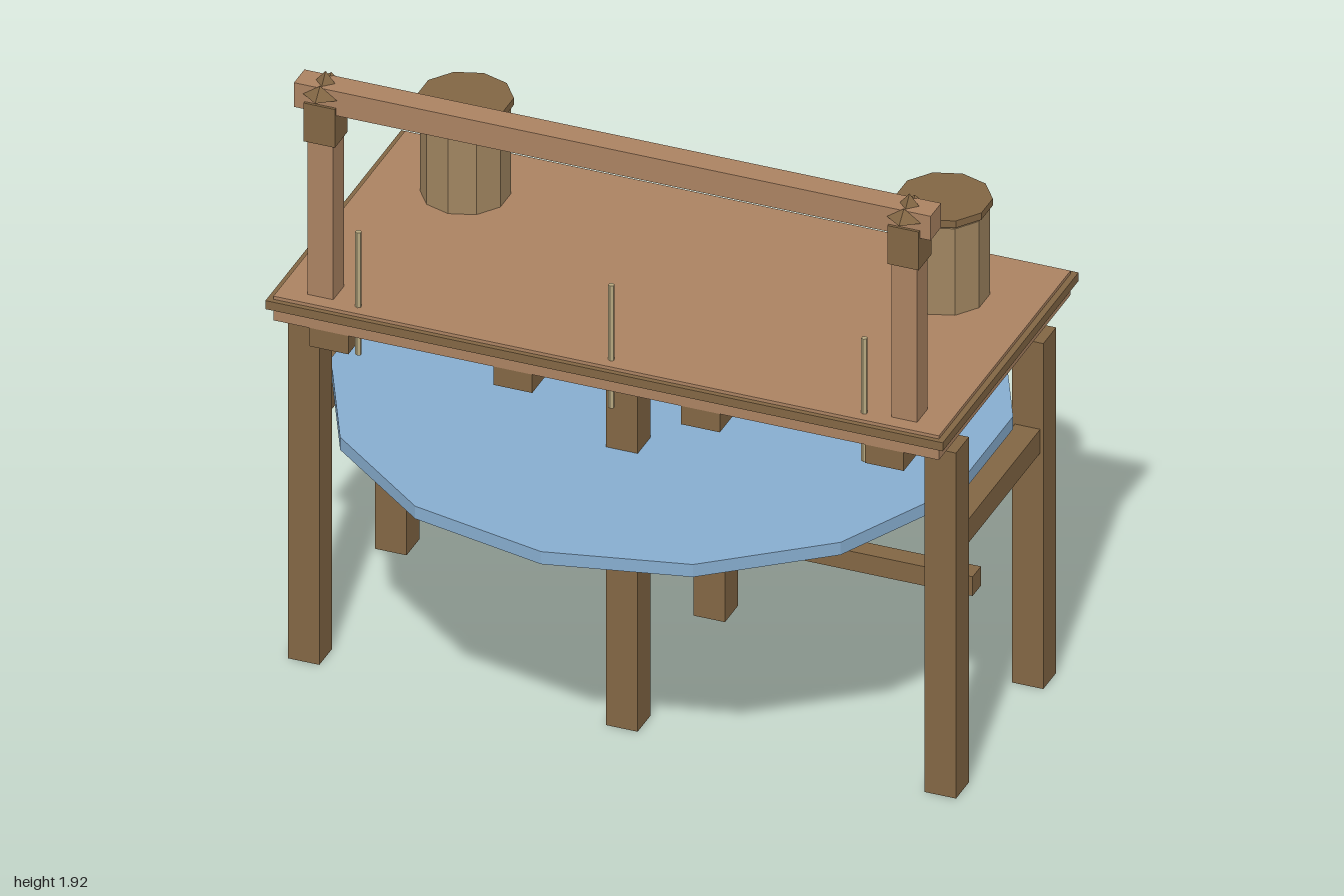
import * as THREE from 'three';

const mat = (color) => new THREE.MeshStandardMaterial({ color, flatShading: true });

export function createModel() {
  const group = new THREE.Group();
  const lightWood = mat(0xab8362);
  const darkWood = mat(0x826644);
  const staveWood = mat(0xa08560);
  const blue = mat(0x87adcf);
  const pale = mat(0xb8a880);

  const add = (name, geometry, material, x, y, z) => {
    const mesh = new THREE.Mesh(geometry, material);
    mesh.name = name;
    mesh.position.set(x, y, z);
    group.add(mesh);
    return mesh;
  };
  // Box given by its bottom and top heights
  const box = (name, material, w, d, y0, y1, x = 0, z = 0) =>
    add(name, new THREE.BoxGeometry(w, y1 - y0, d), material, x, (y0 + y1) / 2, z);
  // Upright prism given by its bottom and top heights
  const prism = (name, material, r, sides, y0, y1, x = 0, z = 0) =>
    add(name, new THREE.CylinderGeometry(r, r, y1 - y0, sides), material, x, (y0 + y1) / 2, z);

  // Six legs
  for (const x of [-0.94, 0, 0.94])
    for (const z of [-0.315, 0.315]) box('leg', darkWood, 0.093, 0.093, 0, 1.1, x, z);

  // End rails and long stretchers
  for (const x of [-0.94, 0.94]) box('endRail', darkWood, 0.075, 0.56, 0.75, 0.825, x);
  box('upperStretcher', darkWood, 1.8, 0.075, 0.75, 0.823);
  box('lowerStretcher', darkWood, 1.8, 0.06, 0.442, 0.503);

  // Large disc under the table top
  prism('disc', blue, 0.945, 14, 0.846, 0.886);

  // Table top with dark rim and joists
  box('tableTop', lightWood, 1.965, 0.95, 1.14, 1.217);
  box('tableRim', darkWood, 2, 0.98, 1.18, 1.207);
  for (const x of [-0.82, -0.277, 0.277, 0.82]) box('joist', darkWood, 0.115, 0.945, 1.08, 1.14, x);

  // Pins along the front edge
  for (const x of [-0.747, 0, 0.747]) prism('pin', pale, 0.009, 6, 1.065, 1.455, x, 0.437);

  // Overhead frame
  box('crossbeam', lightWood, 1.88, 0.076, 1.805, 1.882, 0, 0.393);
  for (const s of [-1, 1]) {
    const x = s * 0.862;
    box('post', lightWood, 0.076, 0.076, 1.215, 1.81, x, 0.393);
    box('bracket', darkWood, 0.092, 0.092, 1.707, 1.829, x, 0.393);
    // Pointed finial of one tall and two low pyramids
    for (const [dz, r, h] of [[0, 0.052, 0.062], [-0.04, 0.036, 0.036], [0.04, 0.036, 0.036]]) {
      const cone = add('finial', new THREE.ConeGeometry(r, h, 4), darkWood, x, 1.854 + h / 2, 0.393 + dz);
      cone.scale.x = dz ? 1.4 : 1;
    }
    // Barrel with a raised lid
    prism('barrel', staveWood, 0.125, 10, 1.215, 1.492, s * 0.707, -0.237);
    prism('barrelLid', darkWood, 0.133, 10, 1.5, 1.522, s * 0.707, -0.237);
  }

  return group;
}
